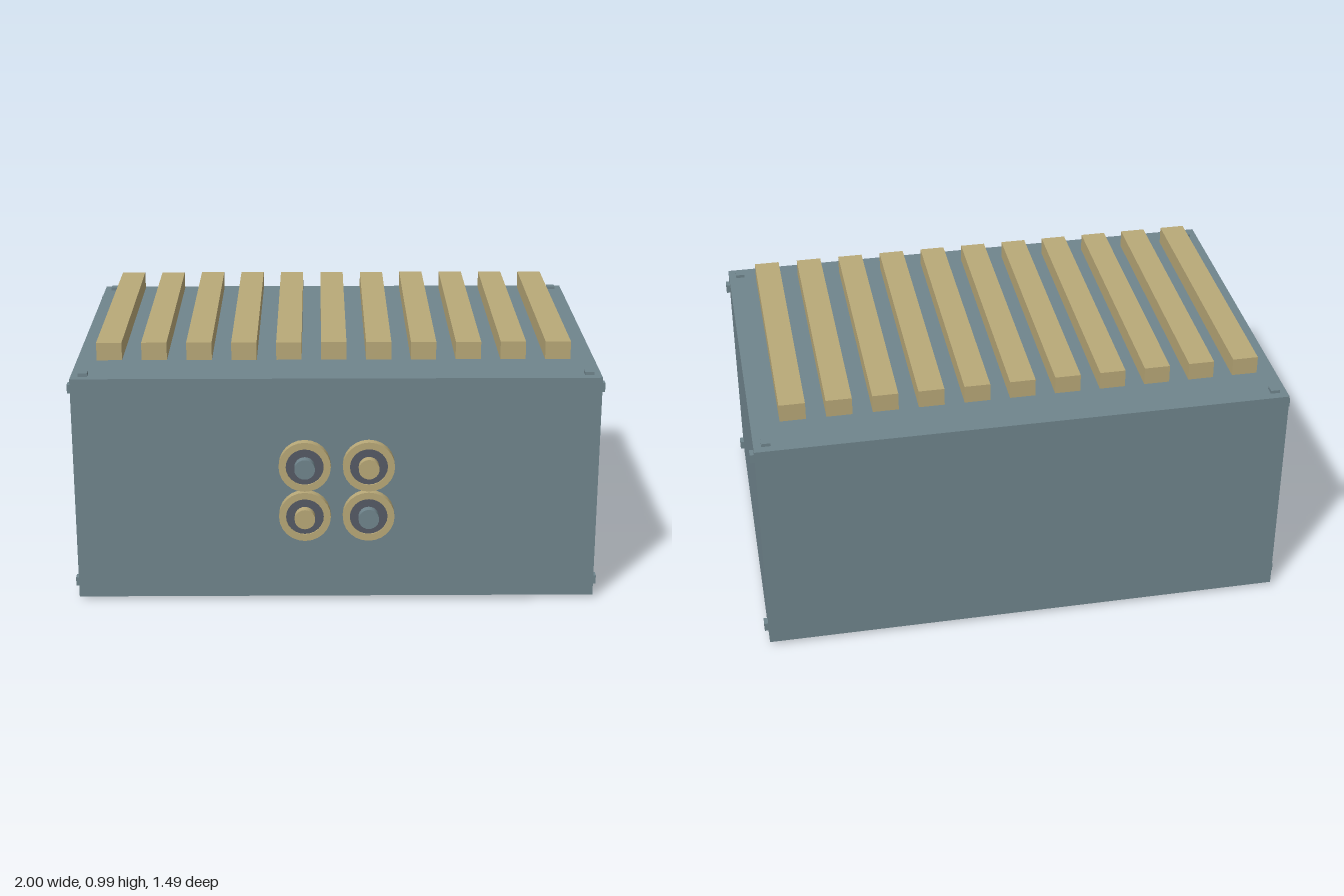
import * as THREE from 'three';

export function createModel() {
  const model = new THREE.Group();
  model.name = 'slattedCabinet';

  const material = (name, color) => {
    const m = new THREE.MeshStandardMaterial({ color });
    m.name = name;
    return m;
  };
  const slate = material('slate blue', 0x70858d);
  const tan = material('tan', 0xb9a978);
  const charcoal = material('charcoal', 0x555a65);

  const add = (parent, name, geometry, mat, x, y, z) => {
    const mesh = new THREE.Mesh(geometry, mat);
    mesh.name = name;
    mesh.position.set(x, y, z);
    parent.add(mesh);
    return mesh;
  };

  // Main cabinet
  const halfW = 0.985, bottom = 0.015, top = 0.89;
  add(model, 'cabinet', new THREE.BoxGeometry(halfW * 2, top - bottom, 1.32), slate,
    0, (top + bottom) / 2, -0.085);

  // Small square studs near the corners of the top, bottom and sides
  const flatStud = new THREE.BoxGeometry(0.034, 0.03, 0.034);
  const sideStud = new THREE.BoxGeometry(0.03, 0.034, 0.034);
  for (const side of [-1, 1]) {
    for (const z of [0.527, -0.697]) {
      add(model, 'topStud', flatStud, slate, side * 0.94, top - 0.003, z);
      add(model, 'bottomStud', flatStud, slate, side * 0.94, 0.015, z);
      for (const y of [0.842, 0.064]) {
        add(model, 'sideStud', sideStud, slate, side * halfW, y, z);
      }
    }
  }

  // Row of slats floating over the lid
  const slat = new THREE.BoxGeometry(0.095, 0.068, 1.045);
  for (let i = 0; i < 11; i++) {
    add(model, 'slat', slat, tan, -0.85 + i * 0.1683, 0.954, -0.087);
  }

  // Knobs: drum, flange ring and centre button, all facing +z
  const cylinder = (r, depth) =>
    new THREE.CylinderGeometry(r, r, depth, 24).rotateX(Math.PI / 2);
  const drum = cylinder(0.078, 0.05);
  const face = cylinder(0.07, 0.03);
  const button = cylinder(0.038, 0.034);
  const flange = new THREE.LatheGeometry([
    [0.07, -0.016], [0.096, -0.016], [0.096, -0.016], [0.096, 0.016],
    [0.096, 0.016], [0.07, 0.016], [0.07, 0.016], [0.07, -0.016],
  ].map(([r, h]) => new THREE.Vector2(r, h)), 24).rotateX(Math.PI / 2);

  for (const x of [-0.118, 0.118]) {
    for (const y of [0.594, 0.398]) {
      const knob = new THREE.Group();
      knob.name = 'knob';
      knob.position.set(x, y, 0);
      model.add(knob);
      add(knob, 'knobDrum', drum, charcoal, 0, 0, 0.661);
      add(knob, 'knobFace', face, charcoal, 0, 0, 0.697);
      add(knob, 'knobFlange', flange, tan, 0, 0, 0.702);
      const isSlate = (x < 0) === (y > 0.5);
      add(knob, 'knobButton', button, isSlate ? slate : tan, 0, 0, 0.728);
    }
  }

  return model;
}
